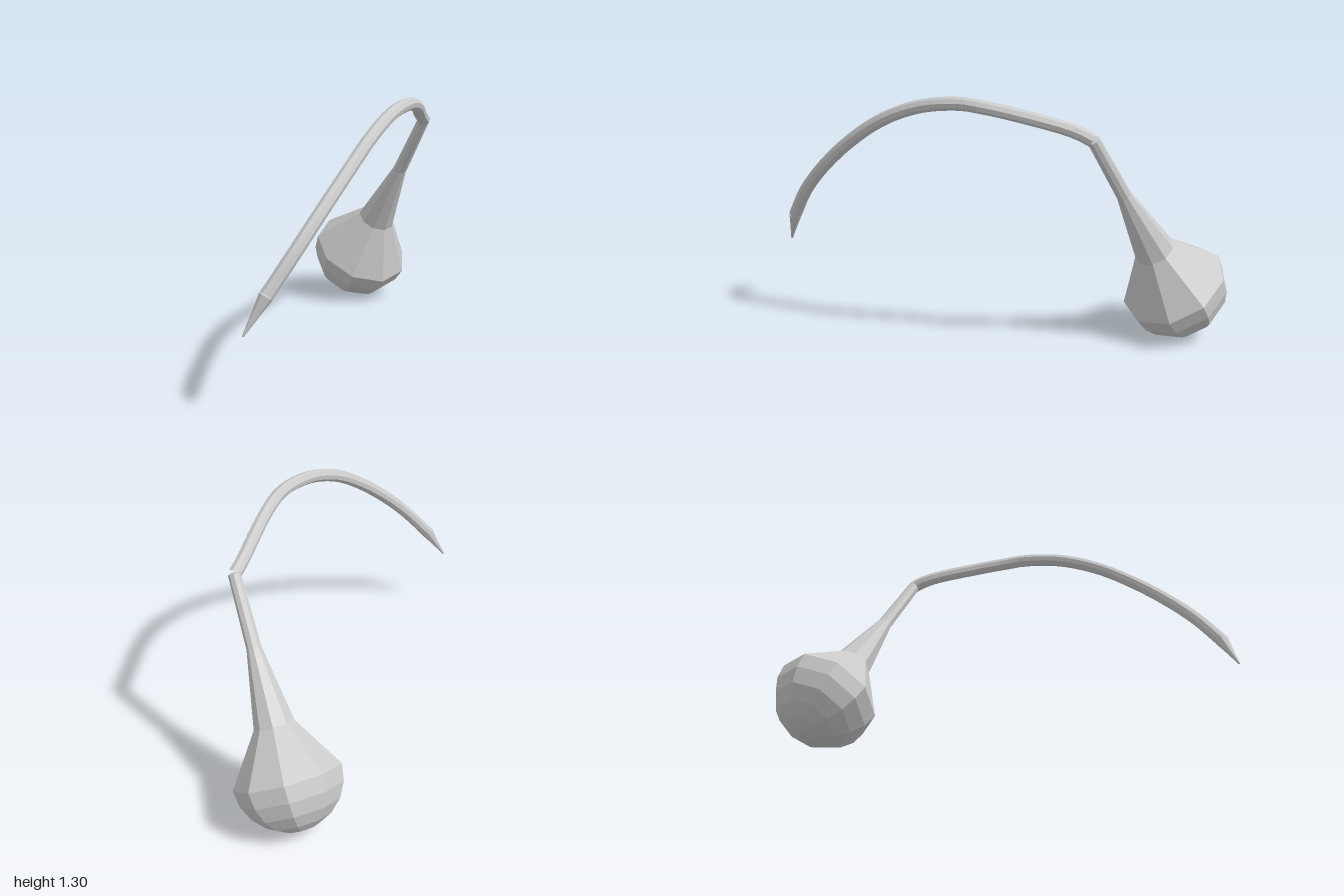
import * as THREE from 'three';

const SIDES = 9;
const V = (x, y, z) => new THREE.Vector3(x, y, z);

export function createModel() {
  const group = new THREE.Group();
  const material = new THREE.MeshStandardMaterial({ color: 0xcccccc, flatShading: true });

  const add = (name, geometry) => {
    const mesh = new THREE.Mesh(geometry, material);
    mesh.name = name;
    group.add(mesh);
    return mesh;
  };

  // Faceted lathe whose profile [radius, distance] runs from one point towards another
  const turned = (name, from, to, profile, phase = 0) => {
    const points = profile.map(([r, d]) => new THREE.Vector2(r, -d)).reverse();
    const mesh = add(name, new THREE.LatheGeometry(points, SIDES, phase));
    const up = from.clone().sub(to).normalize();
    const side = V(1, 0, 0).addScaledVector(up, -up.x).normalize();
    mesh.quaternion.setFromRotationMatrix(
      new THREE.Matrix4().makeBasis(side, up, side.clone().cross(up)));
    mesh.position.copy(from);
  };

  // Hanging stem, flared shoulder and rounded bulb
  const joint = V(0.69, 1.125, 0.053);
  const bulbCentre = V(0.728, 0.285, -0.51);
  const reach = joint.distanceTo(bulbCentre);
  const bulbRadius = 0.277;
  const profile = [[0, -0.01], [0.032, 0], [0.038, 0.37], [0.104, 0.755]];
  for (let i = 0; i <= 5; i++) {
    const a = (i / 5) * Math.PI / 2;
    profile.push([bulbRadius * Math.cos(a), reach + bulbRadius * Math.sin(a)]);
  }
  turned('stemAndBulb', joint, bulbCentre, profile, THREE.MathUtils.degToRad(-6));

  // Long curved arm
  const armEnd = V(-0.895, 0.54, 0.745);
  const curve = new THREE.CatmullRomCurve3([
    V(0.69, 1.122, 0.053), V(0.62, 1.16, 0.1), V(0.42, 1.232, 0.285),
    V(0.28, 1.266, 0.4), V(0.19, 1.274, 0.452), V(0, 1.245, 0.545),
    V(-0.2, 1.16, 0.63), V(-0.4, 1.025, 0.698), V(-0.6, 0.858, 0.742),
    V(-0.75, 0.71, 0.757), armEnd,
  ]);
  add('arm', new THREE.TubeGeometry(curve, 36, 0.034, SIDES));

  // Narrow point at the end of the arm
  turned('spike', armEnd, V(-1, 0.37, 0.715),
    [[0, -0.005], [0.035, 0], [0.023, 0.07], [0.005, 0.198], [0, 0.202]]);

  return group;
}
